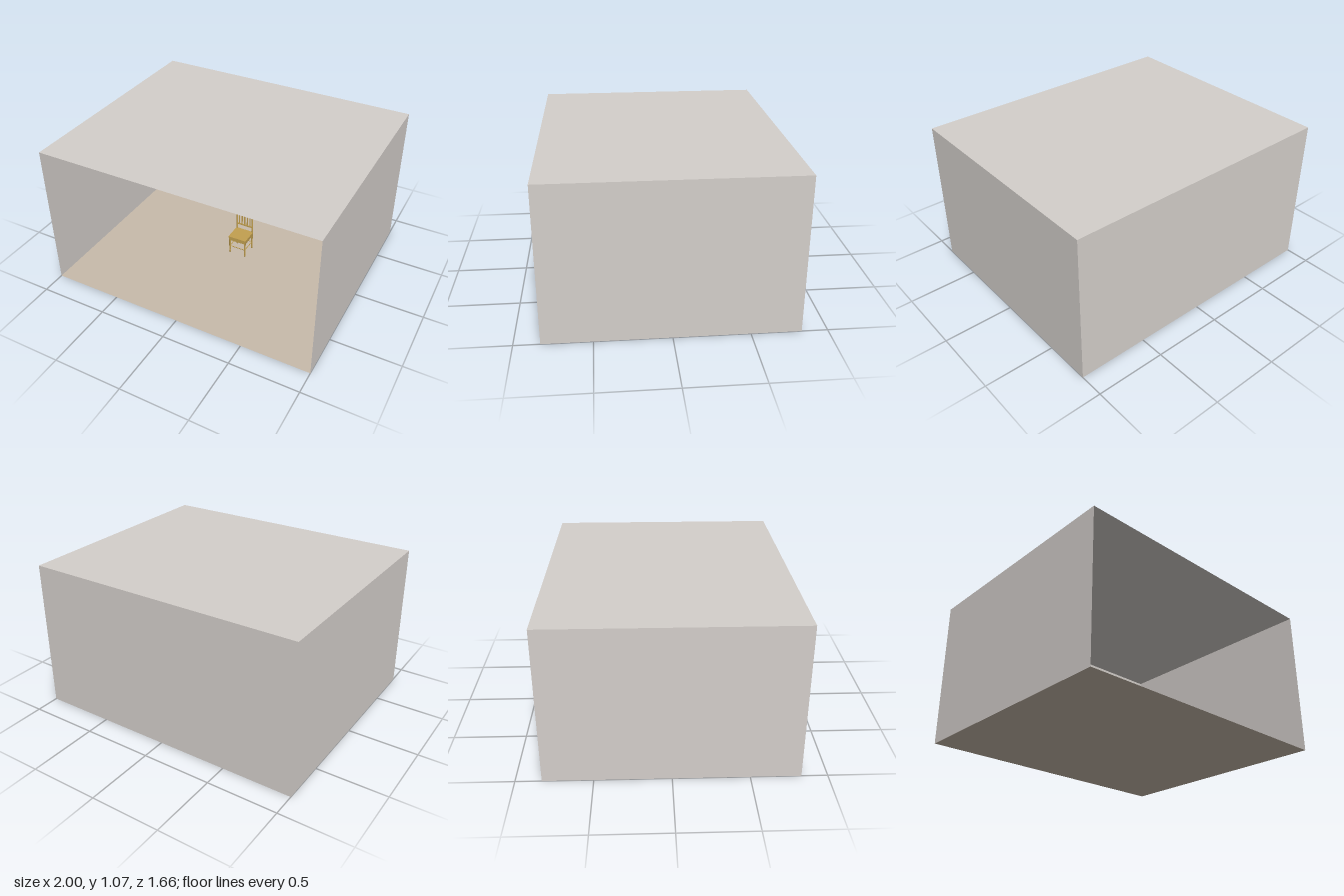
import * as THREE from 'three';

const W = 2, H = 1.07, D = 1.66;

const wall = new THREE.MeshStandardMaterial({ name: 'wallPaint', color: 0xd4cfcb, side: THREE.DoubleSide });
const floorMat = new THREE.MeshStandardMaterial({ name: 'floorBeige', color: 0xc8bbab, side: THREE.DoubleSide });
const wood = new THREE.MeshStandardMaterial({ name: 'goldenWood', color: 0xc2a050 });

function add(group, name, geometry, material, x, y, z) {
  const mesh = new THREE.Mesh(geometry, material);
  mesh.name = name;
  mesh.position.set(x, y, z);
  group.add(mesh);
  return mesh;
}

// Thin round bar between two points
function rod(group, name, a, b, r) {
  const from = new THREE.Vector3(...a), to = new THREE.Vector3(...b);
  const dir = to.clone().sub(from);
  const mid = from.clone().add(to).multiplyScalar(0.5);
  const mesh = add(group, name, new THREE.CylinderGeometry(r, r, dir.length(), 10), wood, mid.x, mid.y, mid.z);
  mesh.quaternion.setFromUnitVectors(new THREE.Vector3(0, 1, 0), dir.normalize());
}

// Turned leg or post from [radius, height] pairs
function turned(group, name, profile, x, z) {
  const pts = profile.map(([r, y]) => new THREE.Vector2(r, y));
  add(group, name, new THREE.LatheGeometry(pts, 12), wood, x, 0, z);
}

function createRoom() {
  const room = new THREE.Group();
  room.name = 'room';
  const flat = new THREE.PlaneGeometry(W, D);
  const side = new THREE.PlaneGeometry(D, H);
  add(room, 'floor', flat, floorMat, 0, 0, 0).rotation.x = -Math.PI / 2;
  add(room, 'ceiling', flat, wall, 0, H, 0).rotation.x = Math.PI / 2;
  add(room, 'backWall', new THREE.PlaneGeometry(W, H), wall, 0, H / 2, -D / 2);
  for (const s of [-1, 1]) {
    add(room, s > 0 ? 'leftWall' : 'rightWall', side, wall, s * W / 2, H / 2, 0).rotation.y = -s * Math.PI / 2;
  }
  return room;
}

function createChair() {
  const chair = new THREE.Group();
  chair.name = 'chair';
  const hx = 0.064, hz = 0.06;

  // Legs with small turned feet; the back pair continue up as posts
  const foot = [[0, 0], [0.005, 0], [0.0075, 0.009], [0.0045, 0.018], [0.0065, 0.03], [0.0065, 0.125]];
  const post = [[0.006, 0.2], [0.006, 0.285], [0.0075, 0.297], [0.005, 0.304], [0, 0.305]];
  for (const s of [-1, 1]) {
    turned(chair, 'frontLeg', [...foot, [0, 0.125]], s * hx, hz);
    turned(chair, 'backLeg', [...foot, ...post], s * hx, -hz);
    rod(chair, 'sideStretcher', [s * hx, 0.062, -hz], [s * hx, 0.062, hz], 0.003);
  }
  for (const s of [-1, 1]) {
    rod(chair, 'crossStretcher', [-hx, 0.062, s * hz], [hx, 0.062, s * hz], 0.003);
  }

  // Seat board over a slightly smaller apron
  add(chair, 'seat', new THREE.BoxGeometry(0.144, 0.014, 0.134), wood, 0, 0.148, 0.003);
  add(chair, 'apron', new THREE.BoxGeometry(0.138, 0.021, 0.128), wood, 0, 0.131, 0.002);

  // Backrest rails and slats
  add(chair, 'topRail', new THREE.BoxGeometry(0.128, 0.014, 0.008), wood, 0, 0.29, -hz);
  add(chair, 'lowerRail', new THREE.BoxGeometry(0.128, 0.01, 0.008), wood, 0, 0.2, -hz);
  for (let i = -2; i <= 2; i++) {
    add(chair, 'backSlat', new THREE.BoxGeometry(0.008, 0.086, 0.005), wood, i * 0.0225, 0.245, -hz);
  }
  chair.position.set(0.041, 0, -0.066);
  return chair;
}

export function createModel() {
  const model = new THREE.Group();
  model.name = 'roomWithChair';
  model.add(createRoom(), createChair());
  return model;
}
